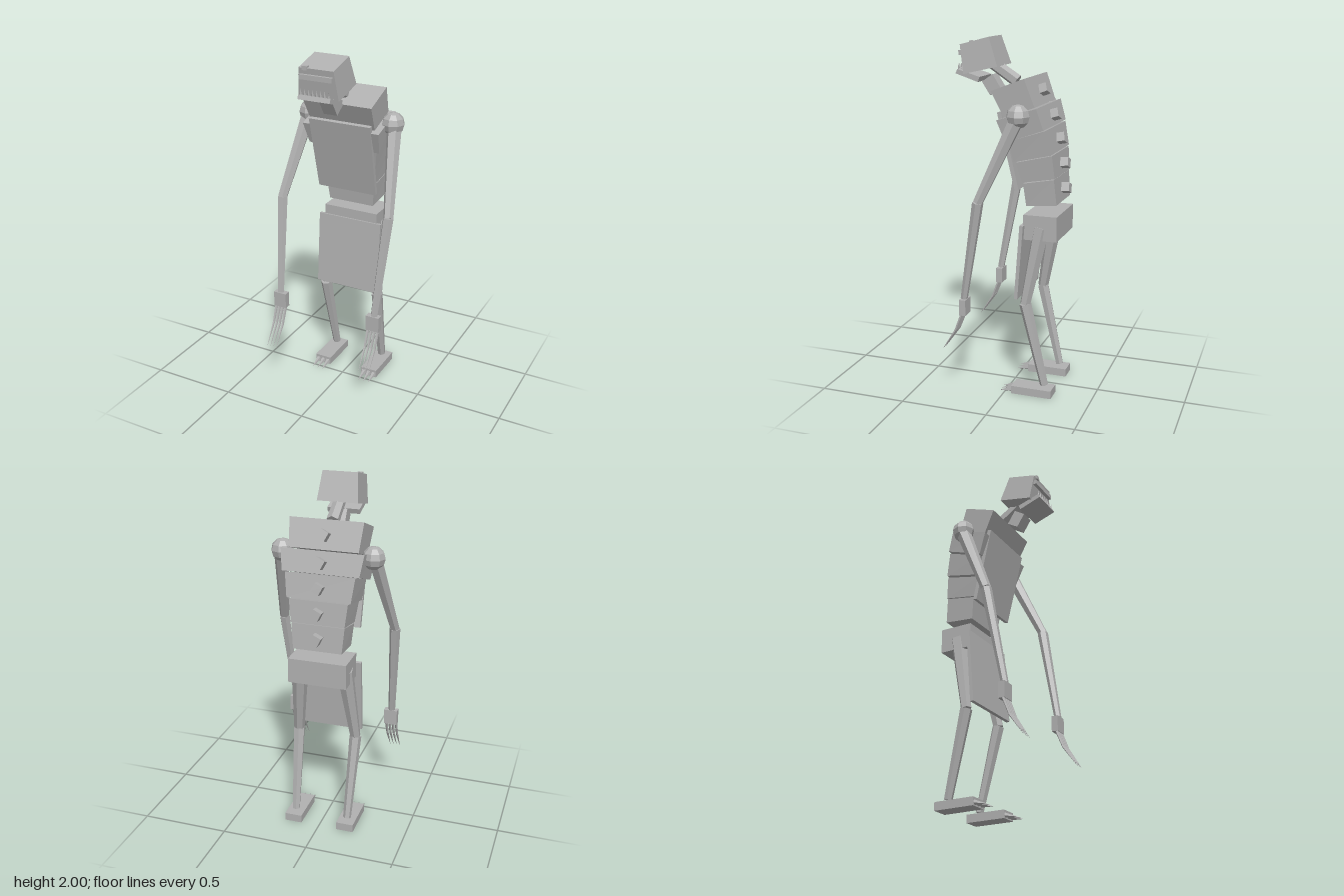
import * as THREE from 'three';

const grey = new THREE.MeshStandardMaterial({ color: 0xb0b0b0 });
grey.name = 'stone grey';

// Faceted mesh: every face gets its own flat normal
function part(name, geometry, parent) {
  const flat = geometry.index ? geometry.toNonIndexed() : geometry;
  flat.computeVertexNormals();
  const mesh = new THREE.Mesh(flat, grey);
  mesh.name = name;
  parent.add(mesh);
  return mesh;
}

// Block from a side profile of [z, y] corners, with half-widths at top and bottom
function block(name, parent, [topFront, topBack, bottomBack, bottomFront], wTop, wBottom = wTop) {
  const g = new THREE.BoxGeometry(2, 2, 2);
  const p = g.attributes.position;
  for (let i = 0; i < p.count; i++) {
    const top = p.getY(i) > 0, front = p.getZ(i) > 0;
    const [z, y] = top ? (front ? topFront : topBack) : (front ? bottomFront : bottomBack);
    p.setXYZ(i, p.getX(i) * (top ? wTop : wBottom), y, z);
  }
  return part(name, g, parent);
}

function box(name, parent, size, pos) {
  const mesh = part(name, new THREE.BoxGeometry(...size), parent);
  mesh.position.set(...pos);
  return mesh;
}

// Tapered rod from point a (radius ra) to point b (radius rb)
function limb(name, parent, a, b, ra, rb, sides = 6) {
  const start = new THREE.Vector3(...a), end = new THREE.Vector3(...b);
  const dir = end.clone().sub(start);
  const mesh = part(name, new THREE.CylinderGeometry(rb, ra, dir.length(), sides), parent);
  mesh.position.copy(start).add(end).multiplyScalar(0.5);
  mesh.quaternion.setFromUnitVectors(new THREE.Vector3(0, 1, 0), dir.normalize());
  return mesh;
}

function buildTorso(root) {
  const torso = new THREE.Group();
  torso.name = 'torso';
  root.add(torso);
  // Rib segments, top to bottom: profile, top half-width, bottom half-width
  const segments = [
    [[[0.07, 1.725], [-0.115, 1.795], [-0.17, 1.645], [0, 1.585]], 0.205, 0.193],
    [[[0.03, 1.575], [-0.19, 1.645], [-0.226, 1.53], [-0.015, 1.455]], 0.23, 0.214],
    [[[-0.024, 1.458], [-0.23, 1.526], [-0.257, 1.394], [-0.05, 1.346]], 0.194, 0.178],
    [[[-0.056, 1.341], [-0.259, 1.389], [-0.272, 1.262], [-0.087, 1.23]], 0.164, 0.15],
    [[[-0.093, 1.225], [-0.267, 1.257], [-0.28, 1.114], [-0.108, 1.098]], 0.149, 0.137],
  ];
  for (const [profile, wTop, wBottom] of segments) {
    block('torsoSegment', torso, profile, wTop, wBottom);
    // Twisted spine knob on the middle of the back face
    const [, [z1, y1], [z2, y2]] = profile;
    const tilt = Math.atan2(z1 - z2, y1 - y2);
    const knob = box('spineKnob', torso, [0.05, 0.05, 0.06],
      [0, (y1 + y2) / 2, (z1 + z2) / 2 - 0.015]);
    knob.rotation.set(tilt, 0, 0.45);
  }
  block('chestPlate', torso,
    [[0.042, 1.61], [0.02, 1.615], [-0.077, 1.195], [-0.055, 1.19]], 0.185, 0.178);
  box('pelvis', torso, [0.33, 0.14, 0.19], [0, 0.985, -0.195]);
  block('loincloth', torso,
    [[-0.088, 1.0], [-0.108, 0.998], [-0.076, 0.573], [-0.056, 0.575]], 0.195);
}

function buildHead(root) {
  const head = new THREE.Group();
  head.name = 'head';
  root.add(head);
  limb('neck', head, [0, 1.76, -0.01], [0, 1.865, 0.15], 0.036, 0.034);
  block('throat', head, [[0.182, 1.755], [0.12, 1.797], [0.072, 1.722], [0.135, 1.682]], 0.04);
  block('skull', head, [[0.285, 1.957], [0.118, 2], [0.065, 1.845], [0.26, 1.8]], 0.1, 0.116);
  block('jaw', head, [[0.305, 1.823], [0.175, 1.785], [0.185, 1.757], [0.315, 1.8]], 0.093);
  box('browBar', head, [0.19, 0.026, 0.03], [0, 1.912, 0.281]);
  box('eye', head, [0.03, 0.022, 0.024], [-0.064, 1.957, 0.28]);
  for (let i = 0; i < 8; i++) {
    const x = (i - 3.5) * 0.023;
    limb('tooth', head, [x, 1.815, 0.298], [x, 1.853, 0.304], 0.008, 0.0005, 4);
  }
}

function buildArm(root, s) {
  const arm = new THREE.Group();
  arm.name = s > 0 ? 'leftArm' : 'rightArm';
  root.add(arm);
  const elbow = [s * 0.33, 1.145, 0.1], wrist = [s * 0.301, 0.585, 0.198];
  part('shoulder', new THREE.SphereGeometry(0.064, 8, 6), arm).position.set(s * 0.255, 1.605, -0.1);
  limb('upperArm', arm, [s * 0.262, 1.6, -0.1], elbow, 0.042, 0.028);
  limb('forearm', arm, elbow, wrist, 0.031, 0.02);
  box('hand', arm, [0.078, 0.09, 0.038], [s * 0.298, 0.54, 0.197]);
  // Bent claw fingers
  for (let i = 0; i < 4; i++) {
    const x = s * (0.298 + (i - 1.5) * 0.02);
    limb('finger', arm, [x, 0.5, 0.203], [x, 0.4, 0.242], 0.009, 0.007, 5);
    limb('fingerClaw', arm, [x, 0.403, 0.24], [x, 0.28, 0.321], 0.0075, 0.0005, 5);
  }
}

function buildLeg(root, s) {
  const leg = new THREE.Group();
  leg.name = s > 0 ? 'leftLeg' : 'rightLeg';
  root.add(leg);
  const knee = [s * 0.17, 0.545, -0.115];
  limb('thigh', leg, [s * 0.13, 0.985, -0.195], knee, 0.048, 0.03);
  limb('shin', leg, knee, [s * 0.157, 0.065, -0.225], 0.034, 0.023);
  box('foot', leg, [0.1, 0.046, 0.235], [s * 0.157, 0.028, -0.16]);
  for (let i = -1; i <= 1; i++) {
    const x = s * 0.157 + i * 0.032;
    limb('toeClaw', leg, [x, 0.026, -0.05], [x, 0.008, 0.03], 0.016, 0.0005, 5);
  }
}

export function createModel() {
  const root = new THREE.Group();
  root.name = 'hunchedCreature';
  buildTorso(root);
  buildHead(root);
  for (const s of [-1, 1]) {
    buildArm(root, s);
    buildLeg(root, s);
  }
  return root;
}
